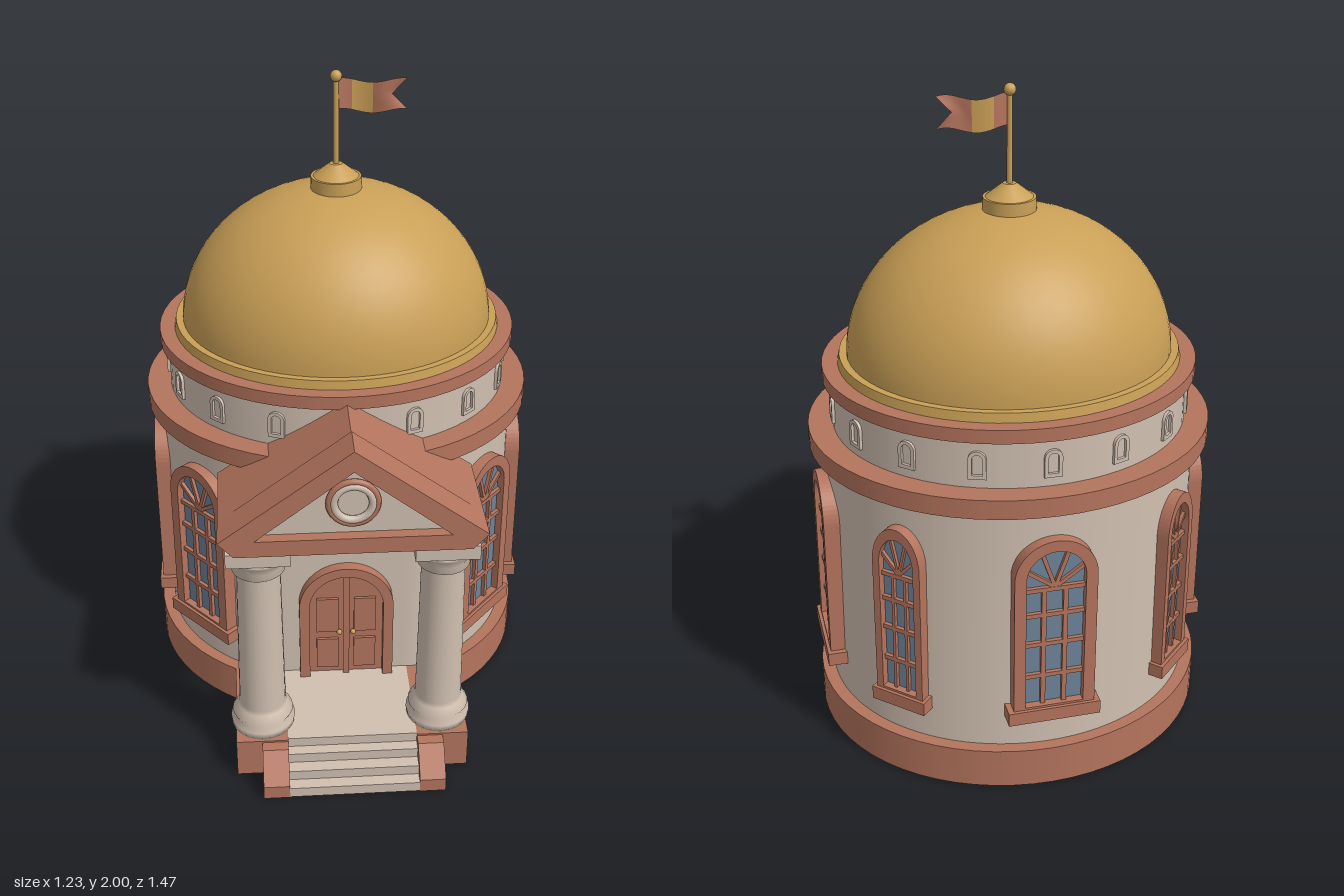
import * as THREE from 'three';

const mat = (name, color) => {
  const m = new THREE.MeshStandardMaterial({ color });
  m.name = name;
  return m;
};

export function createModel() {
  const terracotta = mat('terracotta', 0xb4745d);
  const stone = mat('stone', 0xd0bfb0);
  const gold = mat('gold', 0xc99f56);
  const glass = mat('glass', 0x6e8399);
  const flagRed = mat('flagRed', 0xb4745d);
  const flagGold = mat('flagGold', 0xc99f56);
  flagRed.side = flagGold.side = THREE.DoubleSide;

  const CZ = -0.175, SQUASH = 0.91; // rotunda centre and its depth ratio
  const model = new THREE.Group();
  model.name = 'rotunda';

  const add = (parent, name, geo, material, x = 0, y = 0, z = 0) => {
    const m = new THREE.Mesh(geo, material);
    m.name = name;
    m.position.set(x, y, z);
    parent.add(m);
    return m;
  };
  const box = (parent, name, material, x0, x1, y0, y1, z0, z1) =>
    add(parent, name, new THREE.BoxGeometry(x1 - x0, y1 - y0, z1 - z0), material,
      (x0 + x1) / 2, (y0 + y1) / 2, (z0 + z1) / 2);
  const ring = (parent, name, material, y0, y1, r0, r1 = r0, seg = 64) =>
    add(parent, name, new THREE.CylinderGeometry(r1, r0, y1 - y0, seg), material, 0, (y0 + y1) / 2, 0);
  const polygon = (pts, Kind = THREE.Shape) => new Kind(pts.map(p => new THREE.Vector2(...p)));
  const extrude = (shape, depth) =>
    new THREE.ExtrudeGeometry(shape, { depth, bevelEnabled: false, curveSegments: 14 });
  const arch = (w, y0, spring, Kind = THREE.Shape) => {
    const s = new Kind();
    s.moveTo(-w, y0);
    s.lineTo(w, y0);
    s.lineTo(w, spring);
    s.absarc(0, spring, w, 0, Math.PI, false);
    s.lineTo(-w, y0);
    return s;
  };
  const archFrame = (w, inner, y0, yIn, spring, depth) => {
    const s = arch(w, y0, spring);
    s.holes.push(arch(inner, yIn, spring, THREE.Path));
    return extrude(s, depth);
  };
  // place a group on the oval wall, facing outwards
  const onWall = (name, angle, r) => {
    const g = new THREE.Group();
    g.name = name;
    g.position.set(r * Math.sin(angle), 0, CZ + r * SQUASH * Math.cos(angle));
    g.rotation.y = Math.atan2(Math.sin(angle), Math.cos(angle) / SQUASH);
    model.add(g);
    return g;
  };

  // oval body
  const body = new THREE.Group();
  body.name = 'body';
  body.position.z = CZ;
  body.scale.z = SQUASH;
  model.add(body);
  ring(body, 'plinth', terracotta, 0.002, 0.13, 0.615);
  ring(body, 'lowerCornice', terracotta, 0.93, 0.99, 0.615);
  ring(body, 'upperDrum', stone, 0.98, 1.15, 0.54);
  ring(body, 'upperCornice', terracotta, 1.14, 1.182, 0.565);
  ring(body, 'domeRim', gold, 1.18, 1.21, 0.518, 0.512);
  const domeProfile = [];
  for (let i = 0; i <= 20; i++) {
    const a = (i / 20) * Math.PI / 2;
    domeProfile.push(new THREE.Vector2(0.49 * Math.cos(a), 1.2 + 0.44 * Math.sin(a)));
  }
  add(body, 'dome', new THREE.LatheGeometry(domeProfile, 64), gold);

  // main wall, flattened behind the porch
  const wallGeo = new THREE.CylinderGeometry(0.568, 0.575, 0.81, 96, 1, true);
  const wp = wallGeo.attributes.position;
  const flat = (0.3 - CZ) / SQUASH;
  for (let i = 0; i < wp.count; i++) wp.setZ(i, Math.min(wp.getZ(i), flat));
  wallGeo.computeVertexNormals();
  add(body, 'wall', wallGeo, stone, 0, 0.53, 0);

  // small niches around the upper drum
  for (let i = 0; i < 16; i++) {
    const g = onWall('niche', (i * Math.PI) / 8, 0.54);
    add(g, 'nicheFrame', archFrame(0.026, 0.015, 1.02, 1.032, 1.08, 0.02), stone, 0, 0, -0.012);
  }

  // arched windows
  const windows = [[51, 1], [90, 1], [134, 0.65], [180, 1], [226, 0.65], [270, 1], [309, 1]];
  for (const [deg, width] of windows) {
    const g = onWall('window', THREE.MathUtils.degToRad(deg), 0.572);
    g.scale.x = width;
    add(g, 'windowFrame', archFrame(0.123, 0.088, 0.26, 0.285, 0.722, 0.055), terracotta, 0, 0, -0.025);
    add(g, 'windowGlass', new THREE.ShapeGeometry(arch(0.095, 0.27, 0.722), 14), glass, 0, 0, 0.006);
    box(g, 'windowSill', terracotta, -0.14, 0.14, 0.235, 0.278, -0.03, 0.04);
    for (const x of [-0.032, 0.032]) box(g, 'upright', terracotta, x - 0.007, x + 0.007, 0.27, 0.68, 0, 0.018);
    for (const y of [0.385, 0.495, 0.595, 0.68]) box(g, 'crossbar', terracotta, -0.09, 0.09, y - 0.007, y + 0.007, 0, 0.018);
    for (const a of [-0.95, -0.33, 0.33, 0.95]) {
      const bar = new THREE.BoxGeometry(0.012, 0.12, 0.016).translate(0, 0.06, 0);
      add(g, 'fanBar', bar, terracotta, 0, 0.685, 0.009).rotation.z = a;
    }
  }

  // door
  const door = new THREE.Group();
  door.name = 'door';
  model.add(door);
  add(door, 'doorFrame', archFrame(0.15, 0.118, 0.125, 0.13, 0.41, 0.045), terracotta, 0, 0, 0.29);
  add(door, 'doorLeaf', extrude(arch(0.12, 0.125, 0.41), 0.02), terracotta, 0, 0, 0.288);
  box(door, 'doorStile', terracotta, -0.01, 0.01, 0.13, 0.525, 0.3, 0.322);
  for (const s of [-1, 1]) {
    for (const [y0, y1] of [[0.155, 0.27], [0.3, 0.43]])
      box(door, 'doorPanel', terracotta, s * 0.06 - 0.035, s * 0.06 + 0.035, y0, y1, 0.3, 0.317);
    add(door, 'doorKnob', new THREE.SphereGeometry(0.009, 10, 8), gold, s * 0.022, 0.3, 0.32);
  }

  // porch floor and steps
  box(model, 'porchFloor', stone, -0.2, 0.2, 0, 0.132, 0.28, 0.62);
  [[0.1, 0.655], [0.067, 0.695], [0.034, 0.733]].forEach(([h, z]) =>
    box(model, 'step', stone, -0.2, 0.2, 0, h, 0.6, z));

  // step cheeks, pedestals and columns on both sides
  const cheek = polygon([[0.55, 0], [0.735, 0], [0.735, 0.045], [0.66, 0.125], [0.55, 0.125]]);
  const columnProfile = [[0, 0], [0.097, 0], [0.1, 0.025], [0.086, 0.035], [0.094, 0.052], [0.076, 0.075],
    [0.072, 0.09], [0.066, 0.58], [0.08, 0.592], [0.074, 0.61], [0.09, 0.64], [0.098, 0.655], [0, 0.655]]
    .map(p => new THREE.Vector2(...p));
  for (const s of [-1, 1]) {
    const cheekGeo = extrude(cheek, 0.08).rotateY(-Math.PI / 2);
    add(model, 'stepCheek', cheekGeo, terracotta, s > 0 ? 0.28 : -0.2, 0, 0);
    box(model, 'pedestal', terracotta, s * 0.28 - 0.08, s * 0.28 + 0.08, 0, 0.131, 0.15, 0.625);
    add(model, 'column', new THREE.LatheGeometry(columnProfile, 24), stone, s * 0.275, 0.13, 0.52);
    box(model, 'columnCap', stone, s * 0.275 - 0.095, s * 0.275 + 0.095, 0.785, 0.832, 0.425, 0.615);
  }

  // gabled porch roof and pediment
  const gable = top => polygon([[-0.345, 0.83], [0.345, 0.83], [0.39, 0.88], [0, top], [-0.39, 0.88]]);
  add(model, 'porchRoof', extrude(gable(1.155), 0.275), terracotta, 0, 0, 0.25);
  const front = gable(1.172);
  front.holes.push(polygon([[-0.285, 0.882], [0, 1.105], [0.285, 0.882]], THREE.Path));
  add(model, 'pedimentFrame', extrude(front, 0.11), terracotta, 0, 0, 0.515);
  const tympanum = polygon([[-0.3, 0.875], [0.3, 0.875], [0, 1.115]]);
  add(model, 'tympanum', new THREE.ShapeGeometry(tympanum), stone, 0, 0, 0.59);
  add(model, 'medallionOuter', new THREE.TorusGeometry(0.07, 0.01, 8, 32), terracotta, 0, 0.985, 0.595);
  add(model, 'medallionInner', new THREE.TorusGeometry(0.056, 0.012, 8, 32), stone, 0, 0.985, 0.597);

  // finial, pole and flag
  const finial = new THREE.Group();
  finial.name = 'finial';
  finial.position.z = CZ + 0.005;
  model.add(finial);
  ring(finial, 'finialBase', gold, 1.61, 1.672, 0.08, 0.078, 32);
  ring(finial, 'finialCone', gold, 1.672, 1.712, 0.07, 0.02, 32);
  ring(finial, 'pole', gold, 1.7, 1.98, 0.009, 0.008, 12);
  add(finial, 'poleBall', new THREE.SphereGeometry(0.018, 14, 10), gold, 0, 1.982, 0);
  const stripes = [[0, 0.2, flagRed], [0.2, 0.5, flagGold], [0.5, 1, flagRed]];
  for (const [u0, u1, material] of stripes) {
    const geo = new THREE.PlaneGeometry(1, 2, 8, 4);
    const p = geo.attributes.position;
    for (let i = 0; i < p.count; i++) {
      const u = u0 + (u1 - u0) * (p.getX(i) + 0.5), v = p.getY(i);
      const notch = u1 === 1 ? 0.045 * (1 - Math.abs(v)) * (u - u0) / (u1 - u0) : 0;
      p.setXYZ(i, 0.008 + 0.204 * u - notch,
        1.92 + v * 0.047 + 0.008 * Math.cos(u * 7), -0.012 * Math.sin(u * 6));
    }
    geo.computeVertexNormals();
    add(finial, 'flagStripe', geo, material);
  }
  return model;
}
